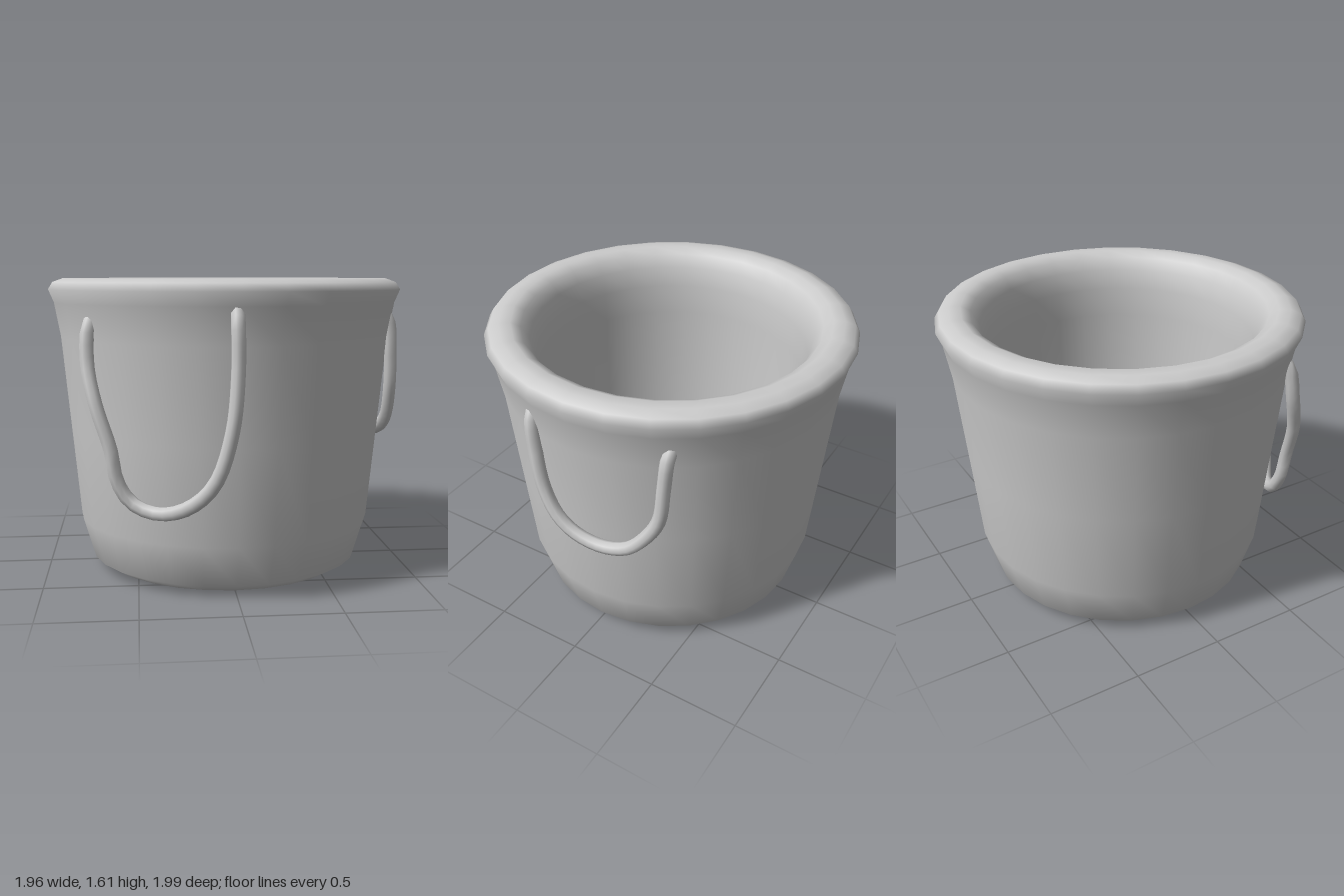
import * as THREE from 'three';

const material = new THREE.MeshStandardMaterial({ color: 0xcccccc });

// Closed wall profile [radius, height]: underside, outside, rolled rim, inside, floor
const PROFILE = [
  [0, 0.01], [0.58, 0.01], [0.68, 0.025], [0.755, 0.07], [0.82, 0.29],
  [0.868, 0.8], [0.915, 1.3], [0.95, 1.49], [0.98, 1.56], [0.955, 1.6],
  [0.9, 1.62], [0.84, 1.622], [0.79, 1.595], [0.75, 1.53], [0.725, 1.42],
  [0.72, 1.25], [0.715, 0.45], [0.68, 0.25], [0.58, 0.16], [0, 0.14],
];

// Hanging rope handles; both ends sink into the wall
const FRONT_ROPE = [
  [-0.69, 1.44, 0.52], [-0.73, 1.39, 0.56], [-0.74, 1.2, 0.6], [-0.7, 1.0, 0.66],
  [-0.63, 0.78, 0.69], [-0.6, 0.62, 0.69], [-0.53, 0.51, 0.7], [-0.4, 0.465, 0.76],
  [-0.25, 0.52, 0.87], [-0.13, 0.65, 0.94], [-0.05, 0.9, 0.965], [-0.02, 1.2, 0.95],
  [-0.02, 1.42, 0.93], [-0.02, 1.49, 0.89],
];
const SIDE_ROPE = [
  [0.84, 1.45, 0.24], [0.885, 1.39, 0.24], [0.905, 1.2, 0.22], [0.915, 1.0, 0.18],
  [0.92, 0.85, 0.1], [0.91, 0.77, 0], [0.89, 0.735, -0.14], [0.87, 0.77, -0.28],
  [0.85, 0.87, -0.38], [0.835, 1.0, -0.45], [0.82, 1.2, -0.47],
  [0.8, 1.36, -0.48], [0.75, 1.42, -0.48],
];

function addMesh(group, name, geometry) {
  const mesh = new THREE.Mesh(geometry, material);
  mesh.name = name;
  group.add(mesh);
  return mesh;
}

function ropeGeometry(points) {
  const path = new THREE.CatmullRomCurve3(points.map((p) => new THREE.Vector3(...p)));
  return new THREE.TubeGeometry(path, 40, 0.036, 8, false);
}

export function createModel() {
  const group = new THREE.Group();
  group.name = 'bucket';

  const profile = PROFILE.map(([r, y]) => new THREE.Vector2(r, y));
  const body = addMesh(group, 'bucketBody', new THREE.LatheGeometry(profile, 28));
  body.position.z = -0.015;

  addMesh(group, 'frontRopeHandle', ropeGeometry(FRONT_ROPE));
  addMesh(group, 'leftRopeHandle', ropeGeometry(SIDE_ROPE));
  return group;
}
